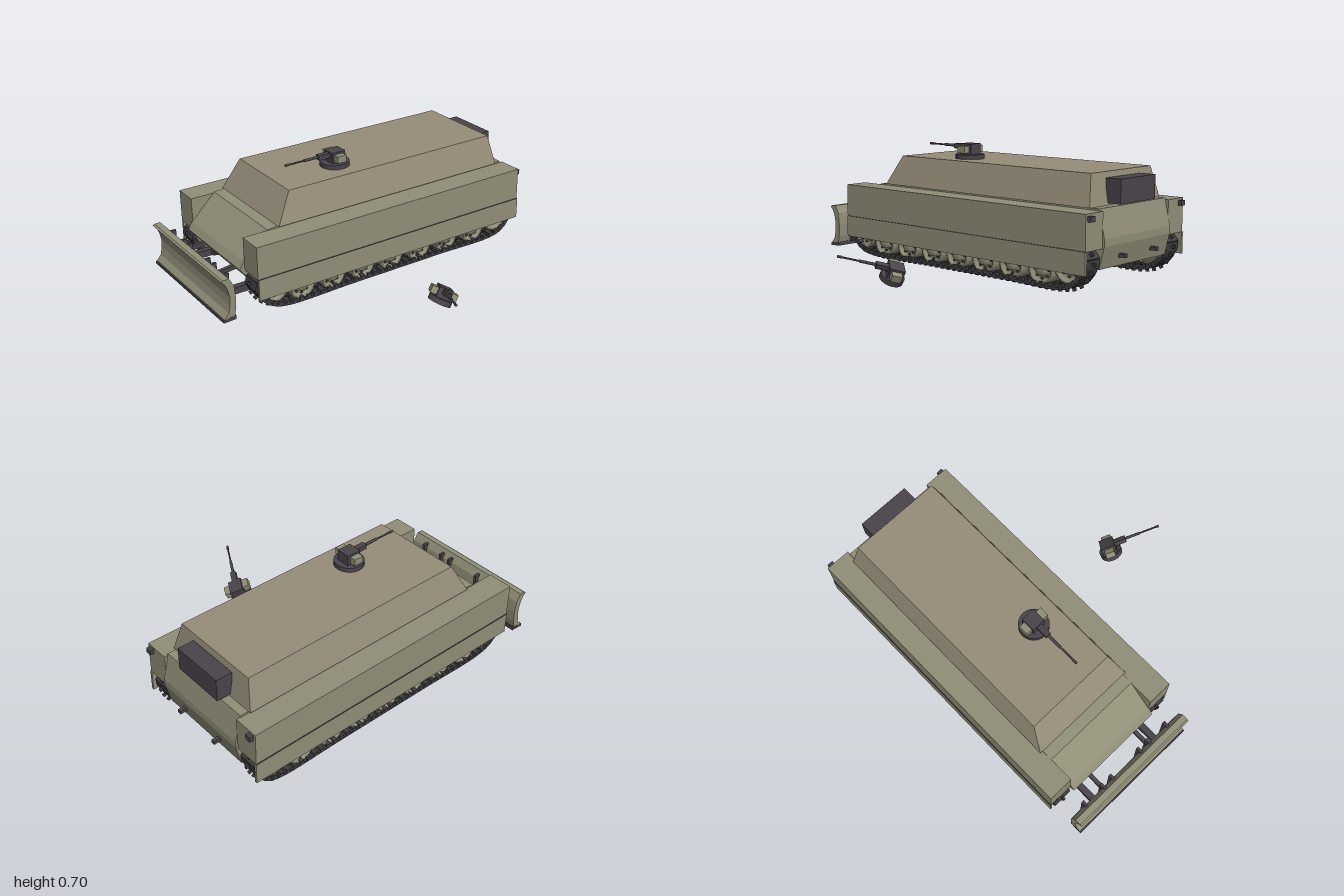
import * as THREE from 'three';
import { mergeGeometries } from 'three/addons/utils/BufferGeometryUtils.js';

const mat = (name, color) => {
  const m = new THREE.MeshStandardMaterial({ color });
  m.name = name;
  return m;
};

export function createModel() {
  const olive = mat('olive', 0x918f78);
  const tan = mat('warm olive', 0x968d79);
  const dark = mat('dark metal', 0x49444b);
  const steel = mat('track steel', 0x403e41);

  const model = new THREE.Group();
  const vehicle = new THREE.Group();
  vehicle.name = 'vehicle';
  vehicle.position.x = -0.352;
  model.add(vehicle);

  const add = (parent, name, geo, m, x = 0, y = 0, z = 0) => {
    const mesh = new THREE.Mesh(geo, m);
    mesh.name = name;
    mesh.position.set(x, y, z);
    parent.add(mesh);
    return mesh;
  };
  // box given by its min and max on each axis
  const box = (parent, name, m, x0, x1, y0, y1, z0, z1) =>
    add(parent, name, new THREE.BoxGeometry(x1 - x0, y1 - y0, z1 - z0), m,
      (x0 + x1) / 2, (y0 + y1) / 2, (z0 + z1) / 2);
  // side profile of [z, y] points, extruded across the vehicle
  const slab = (points, width) => {
    const shape = new THREE.Shape(points.map(p => new THREE.Vector2(p[0], p[1])));
    const g = new THREE.ExtrudeGeometry(shape, { depth: width, bevelEnabled: false });
    return g.translate(0, 0, -width / 2).rotateY(-Math.PI / 2);
  };

  // Hull with sloped nose and tail
  add(vehicle, 'hull', slab([[0.74, 0.13], [0.835, 0.25], [0.81, 0.29], [0.66, 0.435], [0.60, 0.44],
    [-0.94, 0.44], [-0.975, 0.29], [-0.975, 0.25], [-0.945, 0.13]], 0.594), olive);

  // Cabin: box with its top drawn in
  const cabinGeo = new THREE.BoxGeometry(0.626, 0.17, 1.49);
  const p = cabinGeo.attributes.position;
  for (let i = 0; i < p.count; i++) {
    if (p.getY(i) > 0) {
      p.setX(i, Math.sign(p.getX(i)) * 0.266);
      p.setZ(i, p.getZ(i) > 0 ? 0.65 : -0.715);
    }
  }
  const cabinFlat = cabinGeo.toNonIndexed();
  cabinFlat.computeVertexNormals();
  add(vehicle, 'cabin', cabinFlat, tan, 0, 0.525, -0.147);
  box(vehicle, 'exhaustBox', dark, -0.155, 0.155, 0.45, 0.58, -0.968, -0.875);

  // Track loop and links
  const loop = new THREE.CatmullRomCurve3([
    [0.62, 0.022], [0.71, 0.047], [0.775, 0.105], [0.803, 0.18], [0.76, 0.225], [0.68, 0.226], [0.3, 0.215],
    [-0.4, 0.215], [-0.81, 0.226], [-0.90, 0.225], [-0.945, 0.18], [-0.925, 0.105], [-0.87, 0.047],
    [-0.79, 0.022], [-0.4, 0.022], [0.2, 0.022],
  ].map(q => new THREE.Vector3(0, q[1], q[0])), true, 'centripetal');
  const linkCount = 84;
  const parts = [];
  for (let i = 0; i < linkCount; i++) {
    const at = loop.getPointAt(i / linkCount);
    const t = loop.getTangentAt(i / linkCount);
    const put = (w, h, d, x, y) => {
      const g = new THREE.BoxGeometry(w, h, d).translate(x, y, 0);
      parts.push(g.rotateX(Math.atan2(-t.y, t.z)).translate(0, at.y, at.z));
    };
    const out = 1; // outward lies along local +y or -y depending on travel
    const outer = -out * -1;
    put(0.114, 0.012, 0.047, 0, 0);
    for (const s of [-1, 1]) put(0.052, 0.024, 0.024, s * 0.032, outer * 0.01);
    put(0.012, 0.022, 0.018, 0, -outer * 0.014);
  }
  const trackGeo = mergeGeometries(parts);
  trackGeo.computeBoundingBox();
  trackGeo.translate(0, -trackGeo.boundingBox.min.y, 0);

  // Dished wheel turned about the x axis
  const wheelGeo = r => new THREE.LatheGeometry([[0, -0.045], [r, -0.045], [r, 0.045], [r * 0.82, 0.045],
    [r * 0.74, 0.025], [r * 0.42, 0.028], [r * 0.36, 0.052], [0, 0.052]]
    .map(q => new THREE.Vector2(q[0], q[1])), 24).rotateZ(-Math.PI / 2);
  const roadWheel = wheelGeo(0.08);
  const endWheel = wheelGeo(0.088);
  const bolt = new THREE.CylinderGeometry(0.007, 0.007, 0.012, 8).rotateZ(Math.PI / 2);
  const roller = new THREE.CylinderGeometry(0.02, 0.02, 0.07, 12).rotateZ(Math.PI / 2);

  for (const s of [-1, 1]) {
    const side = new THREE.Group();
    side.name = s > 0 ? 'leftRunningGear' : 'rightRunningGear';
    side.position.x = s * 0.36;
    if (s < 0) side.rotation.y = 0;
    vehicle.add(side);
    add(side, 'track', trackGeo, steel);

    const wheel = (name, geo, r, y, z) => {
      const w = new THREE.Group();
      w.name = name;
      w.position.set(0, y, z);
      side.add(w);
      const disc = add(w, 'disc', geo, olive);
      if (s < 0) disc.rotation.y = Math.PI;
      for (let k = 0; k < 8; k++) {
        const a = k / 8 * Math.PI * 2;
        add(w, 'bolt', bolt, dark, s * 0.03, Math.sin(a) * r * 0.58, Math.cos(a) * r * 0.58);
      }
    };
    for (const z of [0.52, 0.325, 0.13, -0.065, -0.26, -0.455, -0.655]) {
      wheel('roadWheel', roadWheel, 0.08, 0.108, z);
      // suspension arm joining wheel and hull
      const arm = box(side, 'suspensionArm', dark, -0.015, 0.015, -0.02, 0.02, -0.06, 0.06);
      arm.position.set(-s * 0.055, 0.13, z + 0.03);
      arm.rotation.x = -0.4;
    }
    wheel('sprocket', endWheel, 0.088, 0.145, 0.69);
    wheel('idler', endWheel, 0.088, 0.145, -0.83);
    for (const z of [0.42, 0.03, -0.36]) add(side, 'returnRoller', roller, olive, 0, 0.185, z);

    // Side box above the track, with skirt plate below
    const mx = (name, m, a, b, ...rest) => box(vehicle, name, m, Math.min(s * a, s * b), Math.max(s * a, s * b), ...rest);
    mx('sideBox', olive, 0.294, 0.438, 0.24, 0.43, -0.963, 0.805);
    mx('sideSkirt', olive, 0.428, 0.442, 0.12, 0.242, -0.966, 0.803);
    mx('skirtSeam', dark, 0.437, 0.4425, 0.24, 0.2435, -0.963, 0.803);
    mx('tailLight', dark, 0.39, 0.425, 0.39, 0.418, -0.985, -0.96);
    mx('towPin', dark, 0.13, 0.152, 0.178, 0.198, -1, -0.94);

    // Blade push arms
    mx('lowerArm', dark, 0.22, 0.256, 0.09, 0.13, 0.74, 0.93);
    const ram = mx('upperArm', dark, 0.16, 0.182, 0.19, 0.215, 0.77, 0.93);
    ram.rotation.x = 0.12;
    for (const x of [0.105, 0.172, 0.307]) mx('bladeRib', dark, x - 0.008, x + 0.008, 0.06, 0.265, 0.908, 0.945);
  }

  // Curved dozer blade
  add(vehicle, 'blade', slab([[0.995, 0.05], [0.968, 0.085], [0.958, 0.13], [0.956, 0.175], [0.965, 0.22],
    [0.98, 0.255], [1, 0.275], [0.99, 0.283], [0.955, 0.285], [0.93, 0.24], [0.922, 0.17], [0.925, 0.1],
    [0.935, 0.05]], 0.81), olive);
  add(vehicle, 'cuttingEdge', slab([[1, 0.036], [1, 0.052], [0.925, 0.062], [0.925, 0.04]], 0.812), dark);

  // Remote gun, origin at the base ring's centre, barrel along +z
  const makeGun = (name, ringRadius, ringHeight) => {
    const gun = new THREE.Group();
    gun.name = name;
    add(gun, 'baseRing', new THREE.CylinderGeometry(ringRadius, ringRadius, ringHeight, 24), dark);
    box(gun, 'gunHousing', dark, -0.04, 0.04, 0.01, 0.074, -0.045, 0.04);
    for (const s of [-1, 1]) {
      box(gun, 'ammoBox', olive, s * 0.058 - 0.018, s * 0.058 + 0.018, 0.022, 0.062, -0.028, 0.028);
    }
    box(gun, 'gunBody', dark, -0.016, 0.016, 0.04, 0.068, 0.04, 0.11);
    const tube = (r, z0, z1) => add(gun, 'barrel',
      new THREE.CylinderGeometry(r, r, z1 - z0, 10).rotateX(Math.PI / 2), dark, 0, 0.056, (z0 + z1) / 2);
    tube(0.008, 0.1, 0.2);
    tube(0.005, 0.2, 0.3);
    tube(0.007, 0.295, 0.318);
    return gun;
  };
  const roofGun = makeGun('roofGun', 0.083, 0.026);
  roofGun.position.set(-0.243, 0.622, 0.112);
  model.add(roofGun);

  // Detached spare gun, tilted
  const spare = makeGun('spareGun', 0.066, 0.03);
  const aim = new THREE.Vector3(0.853, 0.264, 0.45).normalize();
  const up = new THREE.Vector3(0, 0.862, -0.506).normalize();
  const across = new THREE.Vector3().crossVectors(up, aim).normalize();
  spare.quaternion.setFromRotationMatrix(new THREE.Matrix4().makeBasis(across, up, aim));
  spare.position.set(0.525, 0.053, -0.045);
  model.add(spare);

  return model;
}
